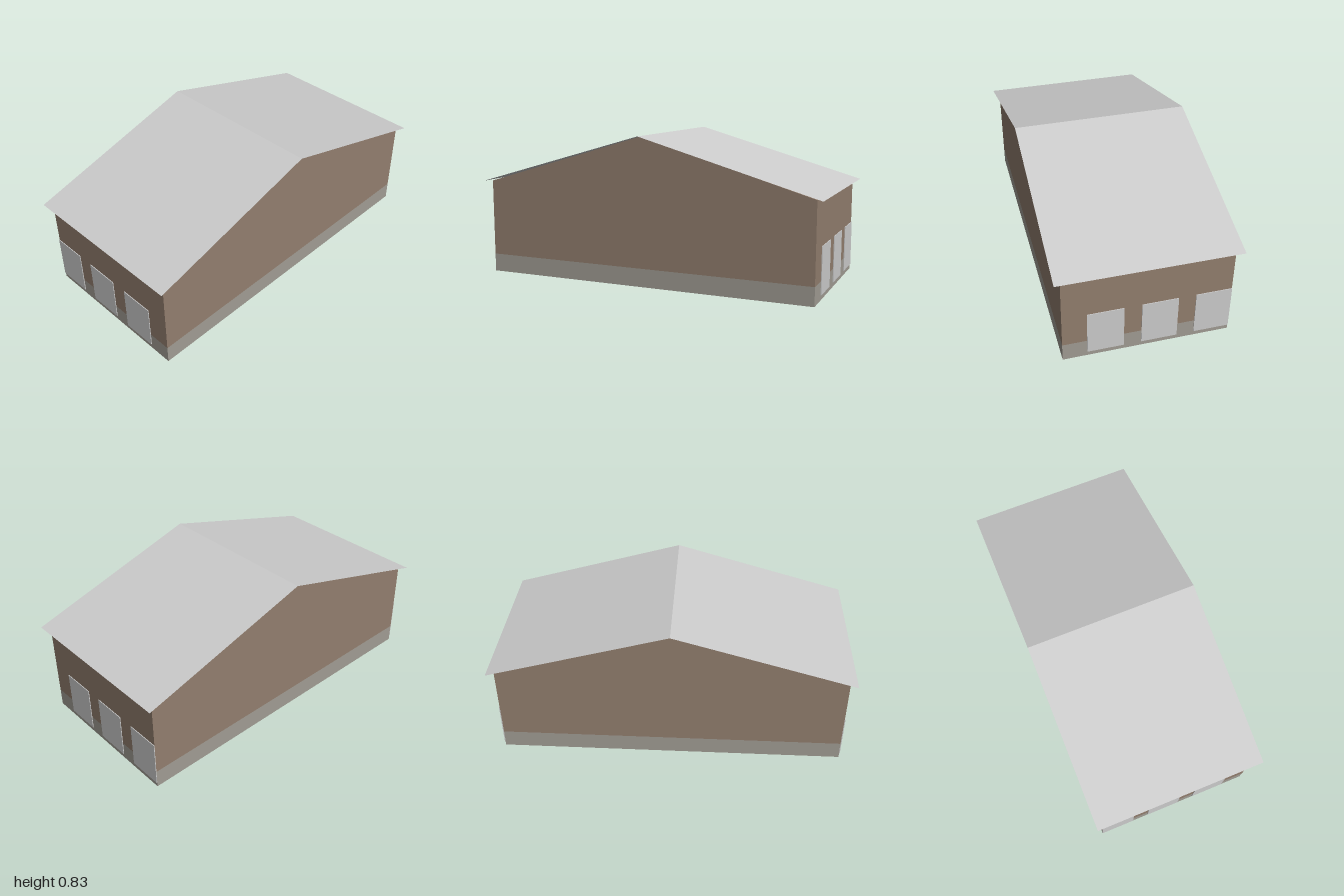
import * as THREE from 'three';

const material = (name, color, extra = {}) =>
  Object.assign(new THREE.MeshStandardMaterial({ color, ...extra }), { name });

export function createModel() {
  const brown = material('brownCladding', 0x927e6e);
  const stone = material('stoneGrey', 0xa09c93);
  const metal = material('lightGreyMetal', 0xcccccc, { side: THREE.DoubleSide });

  const W = 0.9, D = 1.924;             // wall footprint
  const baseH = 0.103, eave = 0.541, ridge = 0.828;
  const roofW = 0.972, roofHalf = 1;    // roof overhangs on all sides

  const group = new THREE.Group();
  group.name = 'shed';
  const add = (name, geometry, mat, x = 0, y = 0, z = 0) => {
    const mesh = new THREE.Mesh(geometry, mat);
    mesh.name = name;
    mesh.position.set(x, y, z);
    group.add(mesh);
    return mesh;
  };

  // Plinth band around the foot of the building
  add('plinth', new THREE.BoxGeometry(W, baseH, D), stone, 0, baseH / 2, 0);

  // Gabled walls: profile in z/y, extruded along x
  const profile = new THREE.Shape([
    new THREE.Vector2(-D / 2, baseH),
    new THREE.Vector2(D / 2, baseH),
    new THREE.Vector2(D / 2, eave),
    new THREE.Vector2(0, ridge - 0.003),
    new THREE.Vector2(-D / 2, eave),
  ]);
  const walls = new THREE.ExtrudeGeometry(profile, { depth: W, bevelEnabled: false });
  walls.translate(0, 0, -W / 2).rotateY(Math.PI / 2);
  add('walls', walls, brown);

  // Two thin roof sheets meeting at the ridge
  const rise = ridge - eave;
  const slope = Math.atan2(rise, roofHalf);
  for (const s of [1, -1]) {
    const sheet = new THREE.PlaneGeometry(roofW, Math.hypot(roofHalf, rise));
    sheet.rotateX(-Math.PI / 2).rotateX(s * slope);
    add(s > 0 ? 'frontRoof' : 'backRoof', sheet, metal, 0, (eave + ridge) / 2, s * roofHalf / 2);
  }

  // Three door panels on the front and the back
  for (const s of [1, -1]) {
    [-0.353, -0.065, 0.223].forEach((x, i) => {
      add(`${s > 0 ? 'front' : 'back'}Door${i + 1}`,
        new THREE.BoxGeometry(0.194, 0.258, 0.005), metal, x, 0.156, s * (D / 2 + 0.0015));
    });
  }
  return group;
}
